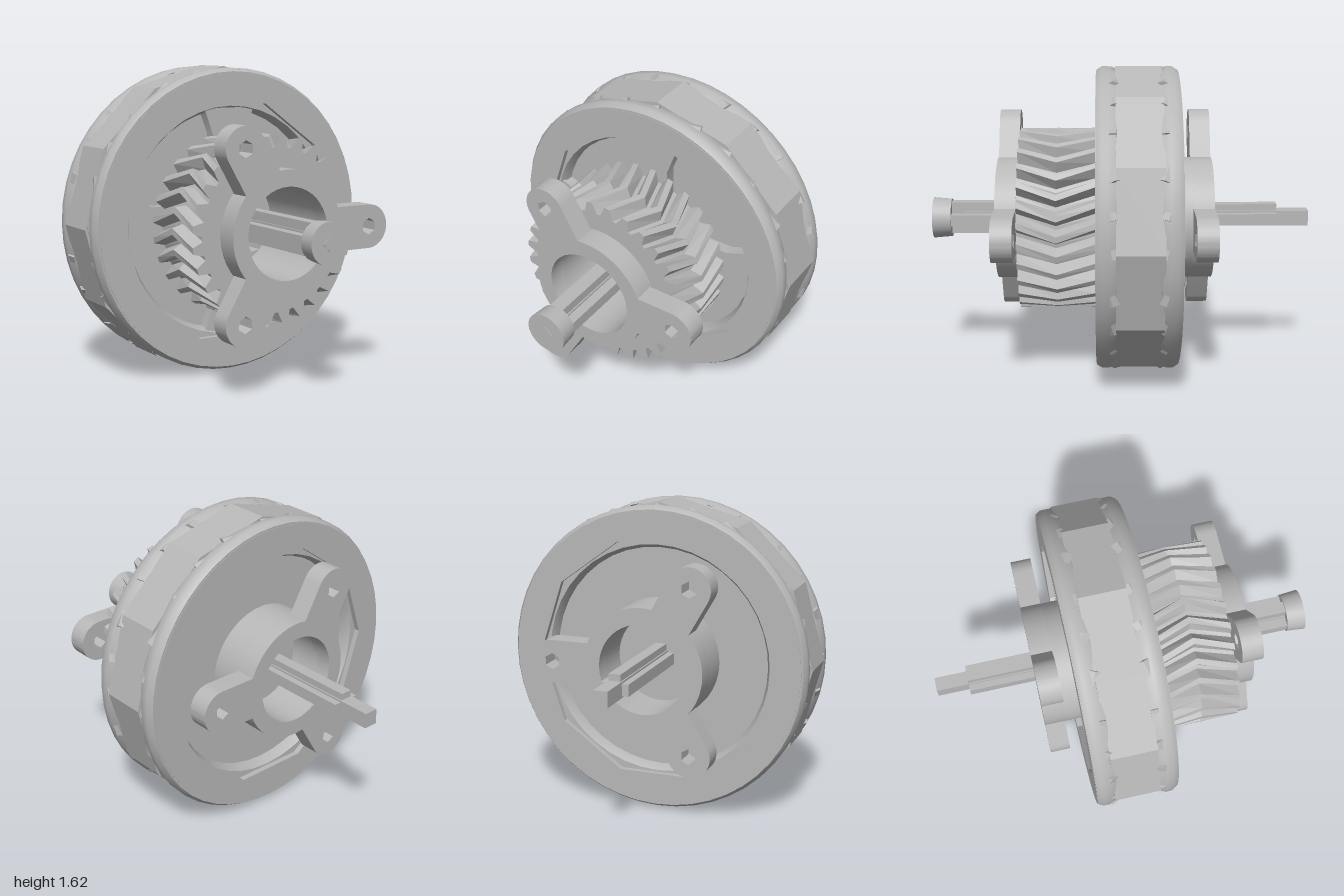
import * as THREE from 'three';
import { toCreasedNormals } from 'three/addons/utils/BufferGeometryUtils.js';

export function createModel() {
  const grey = new THREE.MeshStandardMaterial({ color: 0xb8b8b8 });
  const model = new THREE.Group();
  const wheel = new THREE.Group();
  wheel.name = 'wheelAssembly';
  wheel.position.y = 0.81;
  model.add(wheel);

  const add = (name, geo) => {
    const mesh = new THREE.Mesh(geo, grey);
    mesh.name = name;
    wheel.add(mesh);
    return mesh;
  };
  // Closed profile of [radius, z] turned around the z axis
  const turn = (profile, segments) => {
    const pts = [...profile, profile[0]].map(([r, z]) => new THREE.Vector2(r, z));
    const geo = new THREE.LatheGeometry(pts, segments);
    geo.rotateX(Math.PI / 2);
    return toCreasedNormals(geo, 0.6);
  };
  // Flat outline pushed out between two z positions
  const slab = (shape, z0, z1) => {
    const geo = new THREE.ExtrudeGeometry(shape, { depth: z1 - z0, bevelEnabled: false, curveSegments: 20 });
    geo.translate(0, 0, z0);
    return toCreasedNormals(geo, 0.5);
  };
  const polygon = (x, y, r, sides, start = 0) => {
    const pts = [];
    for (let i = 0; i < sides; i++) {
      const a = start + (i / sides) * Math.PI * 2;
      pts.push(new THREE.Vector2(x + r * Math.cos(a), y + r * Math.sin(a)));
    }
    return pts;
  };
  const box = (name, x0, x1, y0, y1, z0, z1) => {
    const geo = new THREE.BoxGeometry(x1 - x0, y1 - y0, z1 - z0);
    geo.translate((x0 + x1) / 2, (y0 + y1) / 2, (z0 + z1) / 2);
    return add(name, geo);
  };

  // Tyre side walls with a ten-sided opening
  const wall = new THREE.Shape(polygon(0, 0, 0.775, 48));
  wall.holes.push(new THREE.Path(polygon(0, 0, 0.645, 10)));
  add('tyreBody', slab(wall, -0.3, 0.13));

  // Twelve-sided tread band
  const band = new THREE.CylinderGeometry(0.81, 0.81, 0.24, 12);
  band.rotateX(Math.PI / 2);
  band.translate(0, 0, -0.09);
  add('treadBand', band.toNonIndexed()).geometry.computeVertexNormals();

  // Rounded shoulders and slanted tread shards on both edges
  for (const side of [1, -1]) {
    const z = (d) => -0.085 + side * d;
    const profile = [[0.75, z(0.1)], [0.785, z(0.11)], [0.803, z(0.15)], [0.803, z(0.185)], [0.785, z(0.213)], [0.75, z(0.213)]];
    add('tyreShoulder', turn(side > 0 ? profile : profile.reverse(), 48));
    for (let i = 0; i < 24; i++) {
      const a = (i / 24) * Math.PI * 2 + 0.06;
      const shard = new THREE.ConeGeometry(0.035, 0.15 + 0.04 * (i % 3), 4).toNonIndexed();
      shard.computeVertexNormals();
      shard.scale(0.4, 1, 1);
      shard.rotateX(side * 0.3);
      shard.translate(0.788, 0, z(0.15 + 0.012 * (i % 2)));
      shard.rotateZ(a);
      add('treadShard', shard);
    }
  }

  // Rim and its four spokes
  add('rim', turn([[0.65, -0.27], [0.65, 0.1], [0.605, 0.1], [0.585, 0.06], [0.585, -0.23], [0.605, -0.27]], 40));
  for (let i = 0; i < 4; i++) {
    const spoke = new THREE.Shape([
      new THREE.Vector2(0.29, -0.1), new THREE.Vector2(0.46, -0.1), new THREE.Vector2(0.595, -0.15),
      new THREE.Vector2(0.595, 0.15), new THREE.Vector2(0.46, 0.1), new THREE.Vector2(0.29, 0.1)]);
    add('spoke', slab(spoke, -0.12, 0.09)).rotation.z = (i * Math.PI) / 2;
  }

  // Barrel through the wheel, with a pierced floor inside
  add('barrel', turn([[0.32, -0.4], [0.32, 0.56], [0.235, 0.56], [0.235, -0.4]], 40));
  const floor = new THREE.Shape(polygon(0, 0, 0.25, 32));
  for (let i = 0; i < 4; i++) {
    const a = Math.PI / 4 + (i * Math.PI) / 2;
    floor.holes.push(new THREE.Path(polygon(0.19 * Math.cos(a), 0.19 * Math.sin(a), 0.045, 5, a)));
  }
  add('barrelFloor', slab(floor, -0.03, 0.13));

  // Herringbone gear made from twisted toothed cross-sections
  add('herringboneGear', makeGear(28));

  // Three-armed flanges at both ends
  const flange = new THREE.Shape();
  const half = 0.113, tip = 0.497, ring = 0.32;
  const spread = Math.asin(half / ring);
  for (let k = 0; k < 3; k++) {
    const a = (k * Math.PI * 2) / 3;
    flange.absarc(tip * Math.cos(a), tip * Math.sin(a), half, a - Math.PI / 2, a + Math.PI / 2, false);
    flange.absarc(0, 0, ring, a + spread, a + (Math.PI * 2) / 3 - spread, false);
    flange.holes.push(new THREE.Path(polygon(tip * Math.cos(a), tip * Math.sin(a), 0.043, 6, Math.PI / 6)));
  }
  flange.closePath();
  flange.holes.push(new THREE.Path(polygon(0, 0, 0.235, 40)));
  add('frontFlange', slab(flange, 0.54, 0.65));
  add('backFlange', slab(flange, -0.48, -0.37));

  // Cross-shaped axle with a thin tail
  box('axleCore', -0.037, 0.037, -0.04, 0.04, -1, 0.92);
  box('axleFinAcross', -0.088, 0.088, -0.03, 0.03, 0, 0.92);
  box('axleFinUpright', -0.03, 0.03, -0.08, 0.088, 0, 0.92);
  box('axleTailFinAcross', -0.072, 0.072, -0.03, 0.03, -0.83, 0);
  box('axleTailFinUpright', -0.03, 0.03, -0.04, 0.075, -0.83, 0);

  // Axle head with a small square mark
  const head = new THREE.CylinderGeometry(0.108, 0.1, 0.097, 28);
  head.rotateX(Math.PI / 2);
  head.translate(0, 0, 0.9485);
  add('axleHead', head);
  const mark = new THREE.BoxGeometry(0.058, 0.058, 0.006);
  mark.rotateZ(Math.PI / 4);
  mark.translate(0, 0, 0.997);
  add('axleHeadMark', mark);

  return model;
}

// Gear skin: back cap, two mirrored helical halves, front cap
function makeGear(teeth) {
  const pitch = (Math.PI * 2) / teeth;
  const tooth = [[0, 0.42], [0.22, 0.42], [0.45, 0.478], [0.75, 0.478]];
  const count = teeth * tooth.length;
  const layers = [[0.13, 0, true], [0.13, 0], [0.33, -0.15], [0.53, 0], [0.53, 0, true]];
  const pos = [], index = [];
  layers.forEach(([z, twist, inner], l) => {
    for (let i = 0; i < count; i++) {
      const [f, r] = tooth[i % tooth.length];
      const a = (Math.floor(i / tooth.length) + f) * pitch + twist;
      const rad = inner ? 0.3 : r;
      pos.push(rad * Math.cos(a), rad * Math.sin(a), z);
      if (l === 0) continue;
      const j = (i + 1) % count;
      const p = (l - 1) * count, q = l * count;
      index.push(p + i, p + j, q + j, p + i, q + j, q + i);
    }
  });
  const geo = new THREE.BufferGeometry();
  geo.setAttribute('position', new THREE.Float32BufferAttribute(pos, 3));
  geo.setIndex(index);
  const flat = geo.toNonIndexed();
  flat.computeVertexNormals();
  return flat;
}
